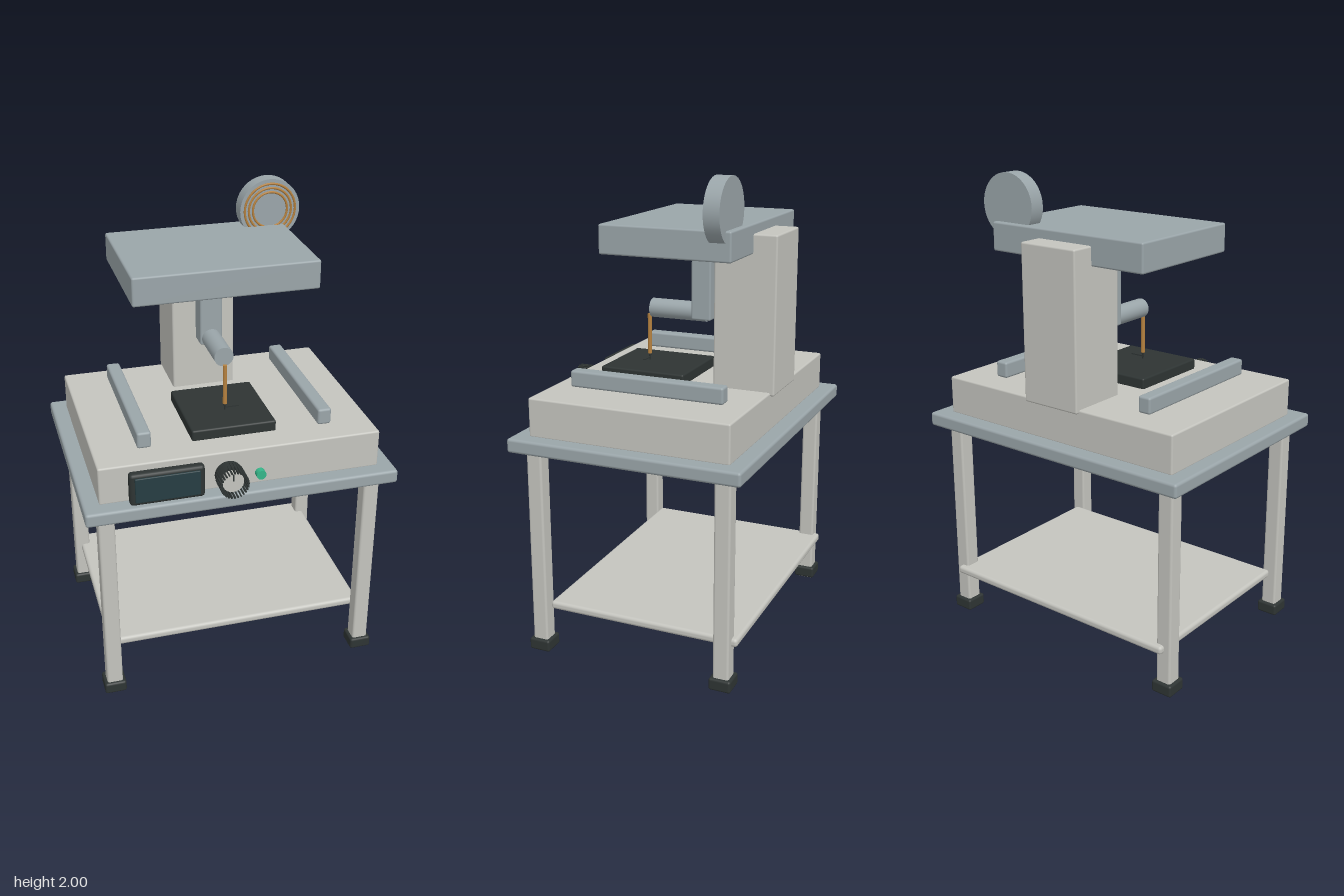
import * as THREE from 'three';
import { RoundedBoxGeometry } from 'three/addons/geometries/RoundedBoxGeometry.js';

const mat = (color) => new THREE.MeshStandardMaterial({ color });

export function createModel() {
  const root = new THREE.Group();
  const steel = mat(0x9aa5a9), cream = mat(0xc4c4be), dark = mat(0x2e3433);
  const glass = mat(0x263d42), brass = mat(0xb5813f), green = mat(0x36b589);

  const add = (name, geometry, material, x, y, z, parent = root) => {
    const mesh = new THREE.Mesh(geometry, material);
    mesh.name = name;
    mesh.position.set(x, y, z);
    parent.add(mesh);
    return mesh;
  };
  // Rounded box given by its extents on each axis
  const box = (name, material, [x0, x1], [y0, y1], [z0, z1], r = 0.008) =>
    add(name, new RoundedBoxGeometry(x1 - x0, y1 - y0, z1 - z0, 2, r), material,
      (x0 + x1) / 2, (y0 + y1) / 2, (z0 + z1) / 2);
  // Cylinder lying along z
  const disc = (name, material, r, x, y, z0, z1, parent = root) =>
    add(name, new THREE.CylinderGeometry(r, r, z1 - z0, 40).rotateX(Math.PI / 2),
      material, x, y, (z0 + z1) / 2, parent);

  // Table
  box('tableTop', steel, [-0.655, 0.655], [0.9, 0.96], [-0.525, 0.478], 0.012);
  box('shelf', cream, [-0.57, 0.57], [0.19, 0.226], [-0.49, 0.35], 0.014);
  for (const x of [-0.565, 0.565]) {
    for (const z of [-0.432, 0.388]) {
      box('leg', cream, [x - 0.034, x + 0.034], [0.03, 0.905], [z - 0.034, z + 0.034], 0.01);
      box('foot', dark, [x - 0.047, x + 0.047], [0.005, 0.057], [z - 0.047, z + 0.047], 0.01);
      box('footPad', cream, [x - 0.034, x + 0.034], [0, 0.02], [z - 0.034, z + 0.034], 0.004);
    }
  }

  // Machine base, work pad and side rails
  box('machineBase', cream, [-0.588, 0.588], [0.955, 1.12], [-0.457, 0.41]);
  box('workPad', dark, [-0.178, 0.178], [1.115, 1.165], [-0.09, 0.29]);
  for (const x of [-0.38, 0.38])
    box('sideRail', steel, [x - 0.029, x + 0.029], [1.13, 1.2], [-0.357, 0.313], 0.01);

  // Column and overhead slab
  box('column', cream, [-0.137, 0.137], [1.105, 1.76], [-0.473, -0.207]);
  box('overheadSlab', steel, [-0.383, 0.383], [1.68, 1.8], [-0.373, 0.186]);

  // Hanging arm with nozzle and probe
  box('hangingArm', steel, [-0.048, 0.048], [1.372, 1.69], [-0.157, -0.07]);
  disc('nozzleHolder', steel, 0.041, 0, 1.4, -0.125, 0.127);
  add('probe', new THREE.CylinderGeometry(0.009, 0.009, 0.175, 16), brass, 0, 1.283, 0.143);
  add('probeTip', new THREE.CylinderGeometry(0.006, 0.003, 0.03, 12), dark, 0, 1.182, 0.143);
  add('sampleStrip', new THREE.BoxGeometry(0.06, 0.005, 0.01), dark, 0.03, 1.18, 0.143);

  // Coil disc on the slab
  const coil = new THREE.Group();
  coil.name = 'coilDisc';
  coil.position.set(0.317, 1.868, 0);
  root.add(coil);
  disc('coilBody', steel, 0.132, 0, 0, -0.35, -0.284, coil);
  for (const r of [0.112, 0.094, 0.076])
    add('coilRing', new THREE.TorusGeometry(r, 0.005, 8, 48), brass, 0, 0, -0.283, coil);

  // Control panel
  box('displayFrame', dark, [-0.473, -0.168], [0.96, 1.102], [0.42, 0.462], 0.014);
  box('displayScreen', glass, [-0.452, -0.188], [0.976, 1.086], [0.45, 0.468], 0.004);
  disc('powerButton', green, 0.02, 0.06, 1.03, 0.448, 0.475);

  // Ribbed knob with a pale cap and pointer
  const knob = new THREE.Group();
  knob.name = 'knob';
  knob.position.set(-0.064, 1.03, 0);
  root.add(knob);
  disc('knobBody', dark, 0.057, 0, 0, 0.425, 0.475, knob);
  disc('knobCap', cream, 0.044, 0, 0, 0.47, 0.498, knob);
  add('knobPointer', new THREE.BoxGeometry(0.005, 0.03, 0.004), dark, 0, 0.022, 0.499, knob);
  for (let i = 0; i < 28; i++) {
    const a = (i / 28) * Math.PI * 2;
    const rib = add('knobRib', new THREE.BoxGeometry(0.008, 0.006, 0.08), dark,
      Math.cos(a) * 0.056, Math.sin(a) * 0.056, 0.484, knob);
    rib.rotation.z = a;
  }
  return root;
}
